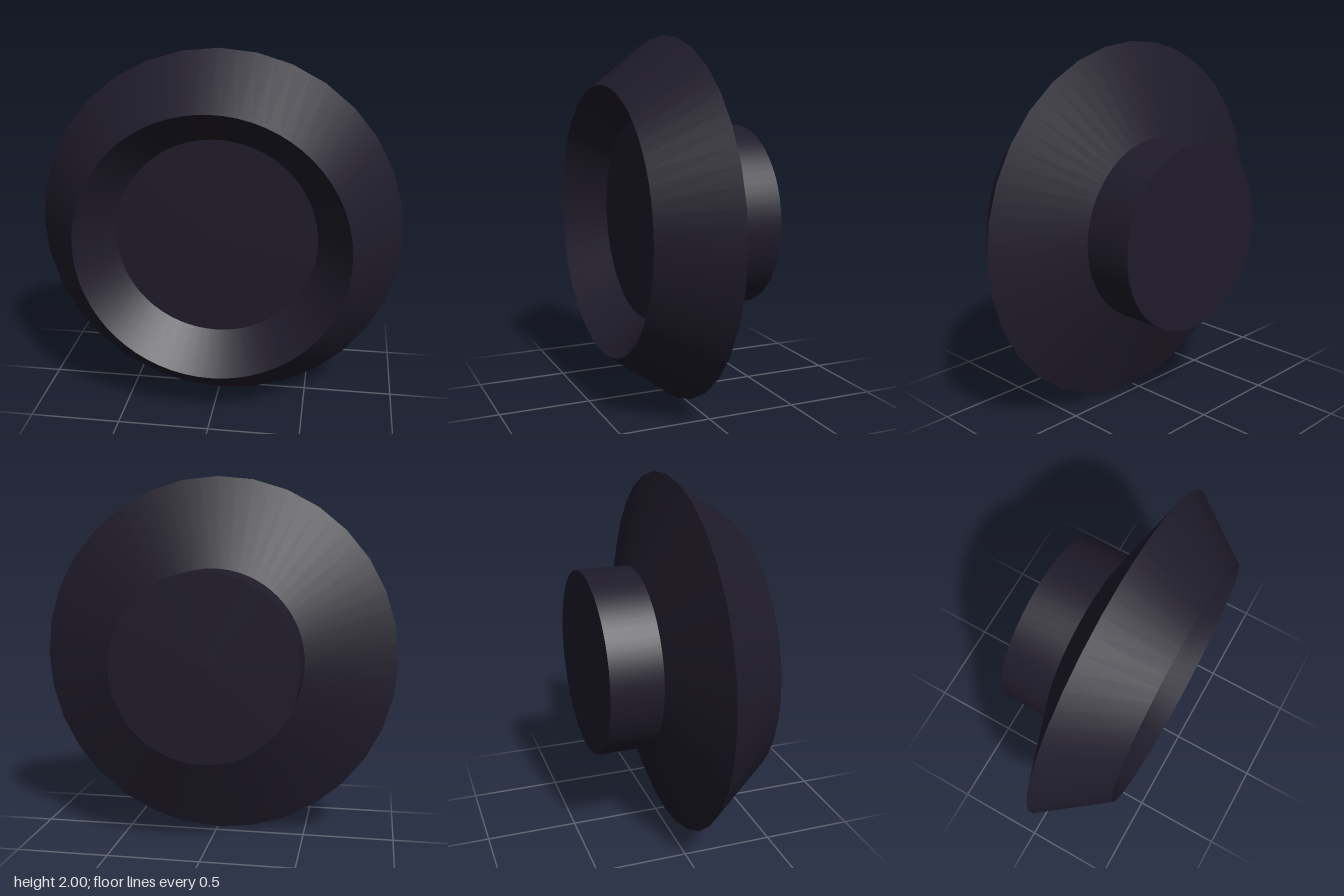
import * as THREE from 'three';

const SEGMENTS = 64;
const GIRDLE = 1; // radius of the widest edge

// One straight-sided band of the turned body, from back [r, z] to front [r, z]
function band(name, from, to, material) {
  const points = [new THREE.Vector2(...from), new THREE.Vector2(...to)];
  const geometry = new THREE.LatheGeometry(points, SEGMENTS);
  const pos = geometry.attributes.position;
  // The widest edge has only 32 sides: pull every second point onto its chord
  for (let i = 0; i < pos.count; i++) {
    const segment = Math.floor(i / 2);
    const radius = (i % 2 ? to : from)[0];
    if (radius === GIRDLE && segment % 2) {
      const k = Math.cos((2 * Math.PI) / SEGMENTS);
      pos.setXYZ(i, pos.getX(i) * k, pos.getY(i), pos.getZ(i) * k);
    }
  }
  geometry.rotateX(Math.PI / 2); // turn the axis towards the front
  const mesh = new THREE.Mesh(geometry, material);
  mesh.name = name;
  return mesh;
}

export function createModel() {
  const group = new THREE.Group();
  group.name = 'knob';
  const material = new THREE.MeshStandardMaterial({ color: 0x1f1b2a });

  // Profile from the back centre, round the widest edge, into the front recess
  const profile = [
    [0, -0.41], [0.505, -0.41], [0.505, -0.125], [GIRDLE, 0.055],
    [0.735, 0.41], [0.55, 0.19], [0, 0.19],
  ];
  const names = ['hubCap', 'hubWall', 'backFlare', 'frontBevel', 'recessWall', 'recessFloor'];

  const body = new THREE.Group();
  body.name = 'body';
  names.forEach((name, i) => body.add(band(name, profile[i], profile[i + 1], material)));
  body.position.y = 1;
  group.add(body);
  return group;
}
